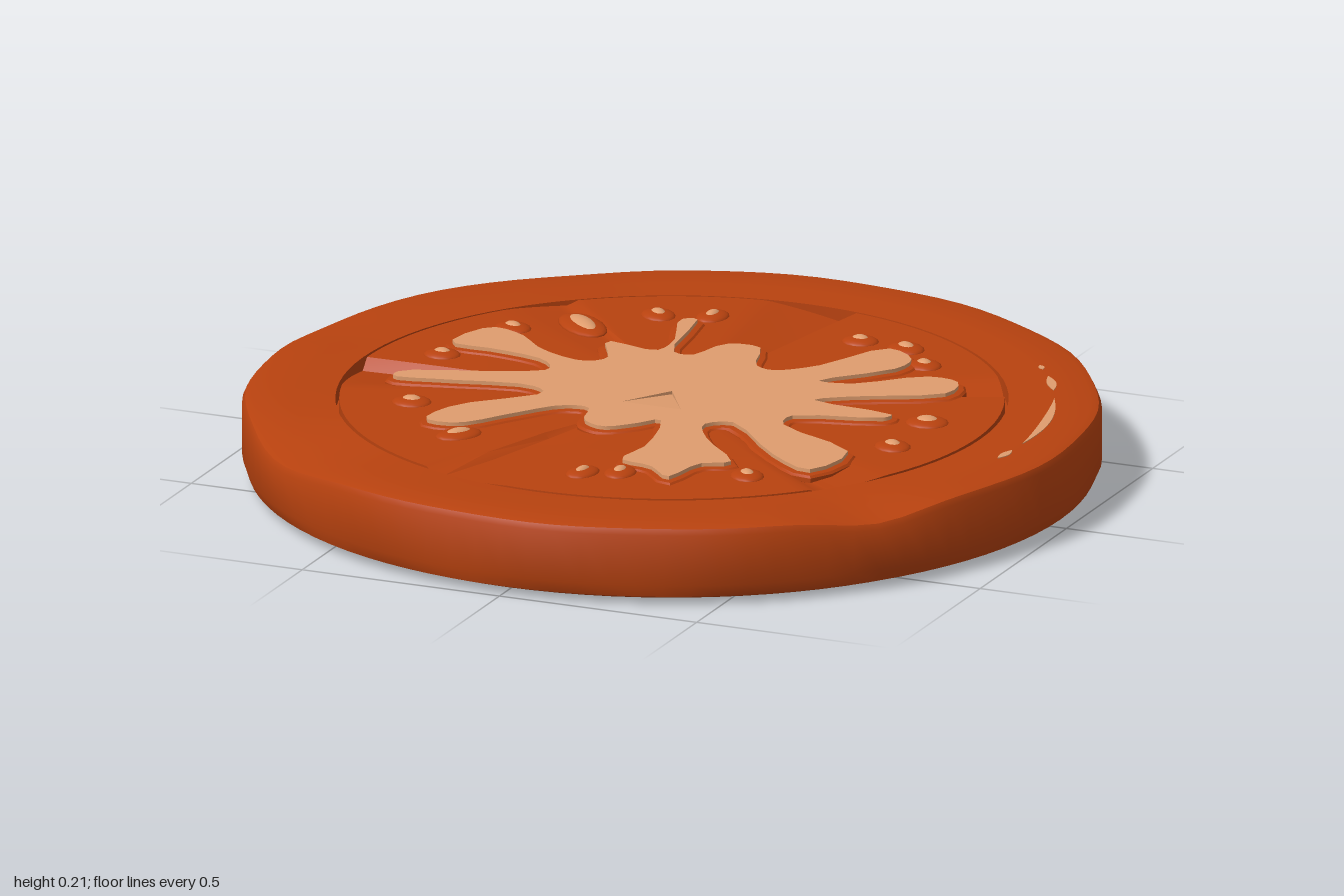
import * as THREE from 'three';
import { toCreasedNormals } from 'three/addons/utils/BufferGeometryUtils.js';

const flesh = new THREE.MeshStandardMaterial({ color: 0xb8420f });
flesh.name = 'tomato red';
const pale = new THREE.MeshStandardMaterial({ color: 0xdf9d6e });
pale.name = 'pale core';

const V = (pairs) => pairs.map(([x, y]) => new THREE.Vector2(x, y));

// Core outline as [x, z], clockwise seen from above
const CORE = [
  [0.33, -0.07], [0.54, -0.04], [0.53, -0.01], [0.33, 0.06], [0.34, 0.13], [0.56, 0.26], [0.53, 0.42],
  [0.4, 0.34], [0.22, 0.16], [0.17, 0.2], [0.22, 0.3], [0.34, 0.44], [0.28, 0.48], [0.25, 0.6],
  [0.18, 0.54], [0.1, 0.52], [0.11, 0.4], [0.06, 0.21], [0.02, 0.26], [-0.04, 0.31], [-0.1, 0.28],
  [-0.13, 0.19], [-0.19, 0.2], [-0.27, 0.3], [-0.36, 0.42], [-0.44, 0.42], [-0.42, 0.3], [-0.27, 0.13],
  [-0.32, 0.09], [-0.52, 0.13], [-0.64, 0.15], [-0.64, 0.11], [-0.4, 0.01], [-0.33, -0.04], [-0.37, -0.1],
  [-0.5, -0.13], [-0.62, -0.14], [-0.58, -0.28], [-0.5, -0.26], [-0.4, -0.17], [-0.28, -0.13],
  [-0.24, -0.17], [-0.29, -0.29], [-0.16, -0.27], [-0.15, -0.35], [-0.2, -0.51], [-0.17, -0.53],
  [-0.12, -0.28], [-0.07, -0.27], [-0.03, -0.38], [0.05, -0.39], [0.1, -0.26], [0.15, -0.24],
  [0.23, -0.31], [0.33, -0.5], [0.41, -0.45], [0.41, -0.37], [0.28, -0.21], [0.36, -0.22], [0.5, -0.34],
  [0.58, -0.33], [0.59, -0.24], [0.4, -0.13],
];

// Seeds as [x, z, half length, half width, turn]
const SEEDS = [
  [-0.28, -0.56, 0.03, 0.02, 0.8], [-0.16, -0.6, 0.03, 0.018, 1.6], [0.23, -0.565, 0.025, 0.02, 0],
  [0.35, -0.555, 0.03, 0.022, 0.6], [0.44, -0.455, 0.025, 0.02, 0.5], [0.62, -0.06, 0.032, 0.028, 0],
  [0.62, 0.14, 0.028, 0.022, 0.6], [0.4, 0.48, 0.028, 0.02, 0.9], [0.04, 0.61, 0.03, 0.016, -1.4],
  [0.12, 0.575, 0.03, 0.018, 1.5], [-0.34, 0.46, 0.04, 0.022, -1], [-0.54, 0.275, 0.028, 0.024, 0],
  [-0.62, -0.085, 0.025, 0.02, 0], [-0.55, -0.335, 0.028, 0.02, 0.4], [-0.41, -0.42, 0.075, 0.03, 0.8],
];

// Walls between the seed chambers as [start degrees, end degrees, depth], from +x towards +z
const WALLS = [[-97, -80, 0.035], [-35, -26, 0.03], [26, 40, 0.012], [96, 112, 0.015], [164, 180, 0.03], [217, 230, 0.012]];

// Rim dents as [degrees, spread, depth]
const DENTS = [[133, 13, 0.03], [38, 8, 0.025], [190, 8, 0.008], [-125, 9, 0.006]];

const turnFrom = (a, b) => ((a - b + 540) % 360) - 180;

function lathe(profile, segments, rule) {
  const g = new THREE.LatheGeometry(V(profile), segments);
  const p = g.attributes.position;
  for (let i = 0; i < p.count; i++) {
    const x = p.getX(i), z = p.getZ(i);
    const [scale, y] = rule(Math.hypot(x, z), THREE.MathUtils.radToDeg(Math.atan2(z, x)), p.getY(i));
    p.setXYZ(i, x * scale, y, z * scale);
  }
  return toCreasedNormals(g, 0.6);
}

// Extrudes an outline drawn on x and -z straight up from y
function slab(shape, y, height, bevel) {
  const g = new THREE.ExtrudeGeometry(shape, {
    depth: height - bevel * 0.4, bevelEnabled: bevel > 0, bevelSize: bevel,
    bevelThickness: bevel * 0.4, bevelSegments: 2, curveSegments: 6,
  });
  g.rotateX(-Math.PI / 2);
  g.translate(0, y, 0);
  return toCreasedNormals(g, 0.6);
}

export function createModel() {
  const model = new THREE.Group();
  const add = (name, geometry, material, parent = model) => {
    const m = new THREE.Mesh(geometry, material);
    m.name = name;
    parent.add(m);
    return m;
  };

  // Skin and outer ring, with a recess for the middle
  add('outerRing', lathe([
    [0, 0], [0.9, 0.003], [0.95, 0.007], [0.985, 0.02], [1, 0.05], [1, 0.172], [0.993, 0.186],
    [0.975, 0.191], [0.88, 0.191], [0.782, 0.19], [0.782, 0.15], [0, 0.15],
  ], 96, (r, a, y) => {
    let dent = 0;
    for (const [at, spread, depth] of DENTS) dent += depth * Math.exp(-((turnFrom(a, at) / spread) ** 2));
    const edge = THREE.MathUtils.smoothstep(r, 0.8, 0.98);
    const wave = y > 0.03 ? 0.003 * (Math.sin(a * 0.2443) - 1) * edge : 0;
    return [1 + wave, y > 0.16 ? y - dent * edge : y];
  }), flesh);

  // Middle disc with sloping chamber walls
  add('innerFlesh', lathe([
    [0.773, 0.15], [0.773, 0.191], [0.6, 0.192], [0.4, 0.192], [0.2, 0.192], [0, 0.192],
  ], 180, (r, a, y) => {
    let drop = 0;
    for (const [from, to, depth] of WALLS) {
      const t = turnFrom(a, from) / (to - from);
      if (t > 0 && t < 1) drop = depth * t;
    }
    return [1, y > 0.16 ? y - drop * THREE.MathUtils.smoothstep(r, 0.15, 0.5) : y];
  }), flesh);

  // Branching core on a soft red bed
  const curve = new THREE.CatmullRomCurve3(CORE.map(([x, z]) => new THREE.Vector3(x, -z, 0)), true, 'centripetal');
  const outline = new THREE.Shape(curve.getPoints(190).slice(0, -1).map((p) => new THREE.Vector2(p.x, p.y)));
  add('coreBed', slab(outline, 0.18, 0.018, 0.018), flesh);
  const core = outline.clone();
  core.holes.push(new THREE.Path(V([[0, 0], [-0.075, -0.12], [0.075, -0.12]])));
  add('core', slab(core, 0.198, 0.009, 0), pale);

  // Sloping notch in the centre
  const notch = new THREE.BufferGeometry();
  notch.setAttribute('position', new THREE.Float32BufferAttribute(
    [0, 0.199, 0, -0.075, 0.207, 0.12, 0.075, 0.207, 0.12], 3));
  notch.computeVertexNormals();
  add('coreNotch', notch, pale);

  // Seeds, each in a red bump
  const dome = new THREE.SphereGeometry(1, 16, 6, 0, Math.PI * 2, 0, Math.PI / 2);
  for (const [x, z, length, width, turn] of SEEDS) {
    const seed = new THREE.Group();
    seed.name = 'seed';
    seed.position.set(x, 0.19, z);
    seed.rotation.y = -turn;
    add('seedBump', dome, flesh, seed).scale.set(length + 0.02, 0.014, width + 0.02);
    add('seedTop', dome, pale, seed).scale.set(length, 0.019, width);
    model.add(seed);
  }

  // Thin pale streaks on the ring
  for (const [from, to, width] of [[-39.5, -37.5, 0.014], [-34, -27, 0.022], [-23, 0, 0.022], [3.5, 8, 0.02]]) {
    const pts = [];
    for (let i = 0; i <= 24; i++) {
      const t = i <= 12 ? i / 12 : 2 - i / 12;
      const a = THREE.MathUtils.degToRad(from + (to - from) * t);
      const r = 0.888 + (i <= 12 ? 0.5 : -0.5) * width * Math.sin(Math.PI * t);
      if (i < 24) pts.push(new THREE.Vector2(r * Math.cos(a), -r * Math.sin(a)));
    }
    add('ringStreak', slab(new THREE.Shape(pts), 0.187, 0.006, 0), pale);
  }
  return model;
}
